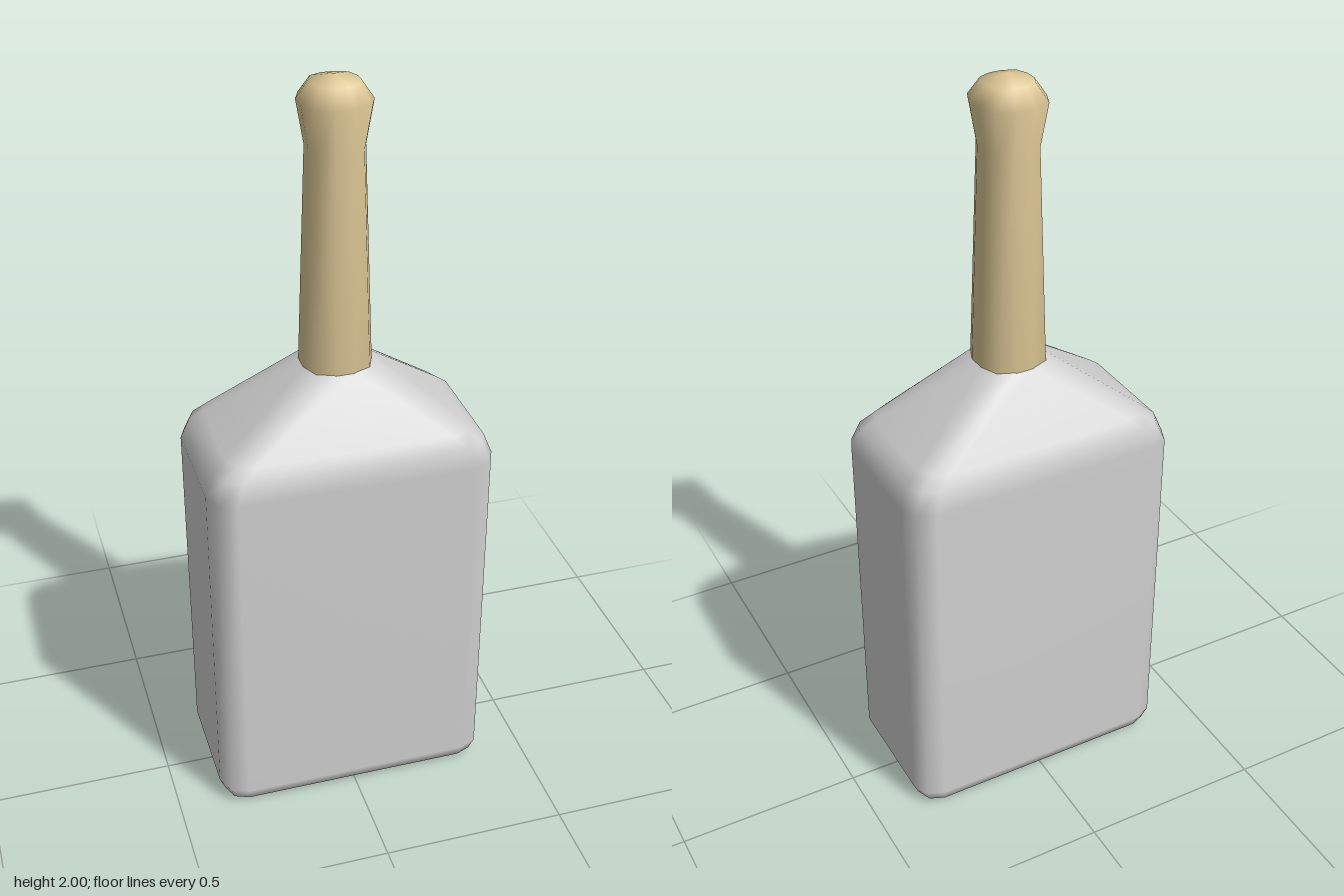
import * as THREE from 'three';

// Twelve-point rounded rectangle: half width w, half depth d, corner cuts a (long) and b (short)
function section([y, w, d, a, b]) {
  const corner = [[w, d - a], [w - b, d - b], [w - a, d]];
  const points = [];
  for (const [sx, sz] of [[1, 1], [-1, 1], [-1, -1], [1, -1]]) {
    const ordered = sx * sz > 0 ? corner : [...corner].reverse();
    for (const [x, z] of ordered) points.push(sx * x, y, sz * z);
  }
  return points;
}

// Smooth skin through a stack of sections; caps end at the given heights
function loft(sections, bottomY, topY) {
  const n = 12;
  const positions = sections.flatMap(section);
  const indices = [];
  for (let r = 0; r < sections.length - 1; r++) {
    for (let i = 0; i < n; i++) {
      const p = r * n + i, q = r * n + (i + 1) % n;
      indices.push(p, p + n, q, q, p + n, q + n);
    }
  }
  const bottom = sections.length * n, top = bottom + 1, last = bottom - n;
  positions.push(0, bottomY, 0, 0, topY, 0);
  for (let i = 0; i < n; i++) {
    const j = (i + 1) % n;
    indices.push(bottom, i, j, top, last + j, last + i);
  }
  const geometry = new THREE.BufferGeometry();
  geometry.setAttribute('position', new THREE.Float32BufferAttribute(positions, 3));
  geometry.setIndex(indices);
  geometry.computeVertexNormals();
  return geometry;
}

export function createModel() {
  const model = new THREE.Group();
  const grey = new THREE.MeshStandardMaterial({ name: 'light grey', color: 0xd0d0d0 });
  const tan = new THREE.MeshStandardMaterial({ name: 'pale tan', color: 0xdec896 });

  // Block with rounded edges and sloping shoulders
  const body = new THREE.Mesh(loft([
    [0, 0.33, 0.172, 0.03, 0.008],
    [0.014, 0.364, 0.203, 0.055, 0.016],
    [0.05, 0.38, 0.217, 0.067, 0.02],
    [1.0, 0.38, 0.217, 0.067, 0.02],
    [1.055, 0.358, 0.203, 0.062, 0.02],
    [1.085, 0.322, 0.186, 0.06, 0.02],
    [1.26, 0.088, 0.088, 0.064, 0.019],
  ], 0, 1.26), grey);
  body.name = 'body';
  model.add(body);

  // Tapered grip that flares into a rounded knob
  const round = (y, r) => [y, r, r, r * 0.73, r * 0.215];
  const handle = new THREE.Mesh(loft([
    round(1.255, 0.09),
    round(1.83, 0.071),
    round(1.94, 0.089),
    round(1.984, 0.06),
  ], 1.255, 2.0), tan);
  handle.name = 'handle';
  model.add(handle);

  return model;
}
